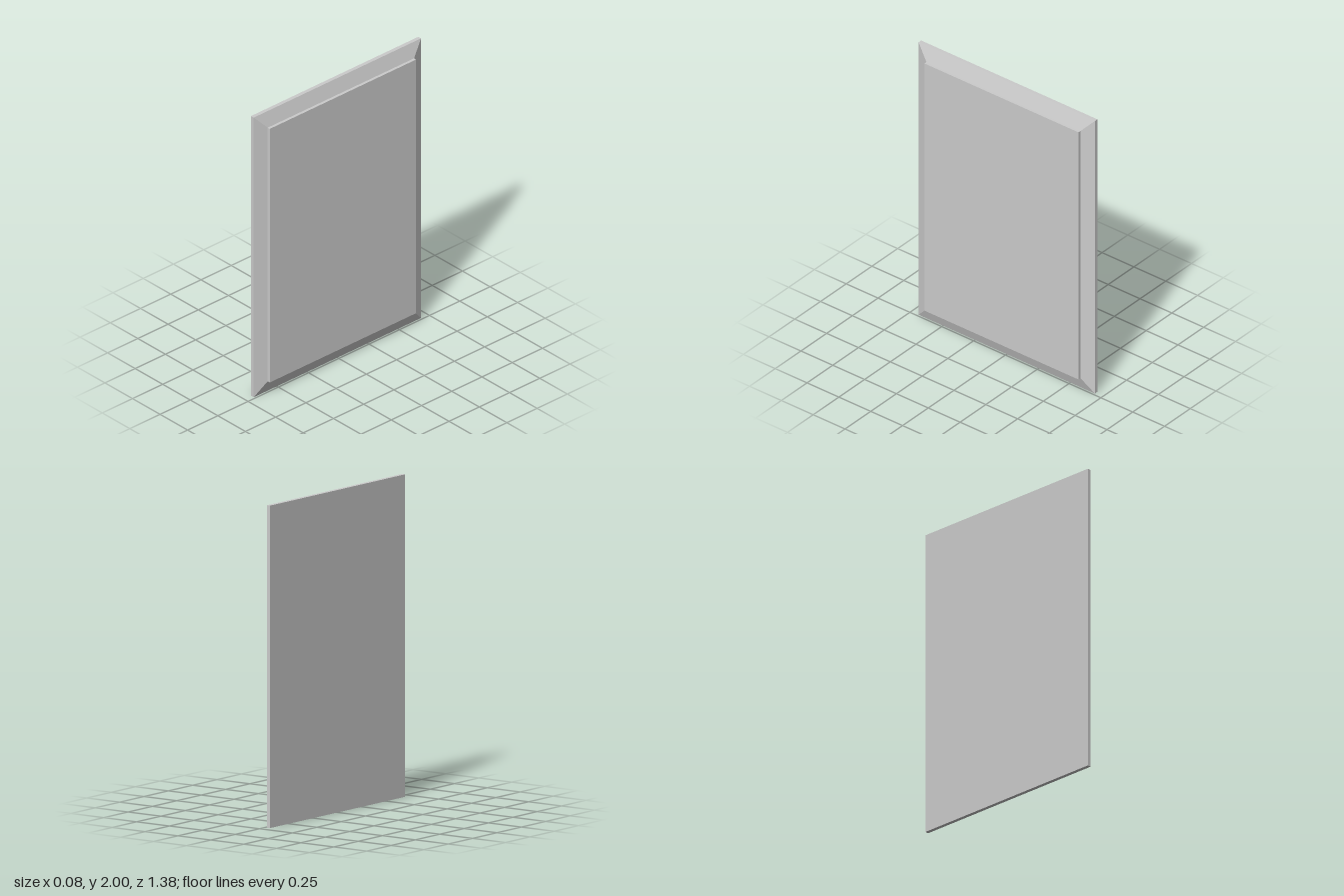
import * as THREE from 'three';

const OUTER = { h: 1, d: 0.692 };        // half height, half depth of the plate
const INNER = { h: 0.907, d: 0.605 };    // half height, half depth of the raised panel
const X = { back: -0.038, edge: -0.013, bevel: 0.019, front: 0.038 };

// Corners of a rectangle at x, counter-clockwise seen from +x
const ring = (x, { h, d }) =>
  [[-1, -1], [1, -1], [1, 1], [-1, 1]].map(([sy, sz]) => [x, 1 + sy * h, sz * d]);

// Flat-sided band between two rings, with optional end faces
function band(a, b, { capA = false, capB = false } = {}) {
  const quads = a.map((_, i) => {
    const j = (i + 1) % 4;
    return [a[i], a[j], b[j], b[i]];
  });
  if (capA) quads.push([...a].reverse());
  if (capB) quads.push(b);
  const points = quads.flatMap(([p, q, r, s]) => [p, q, r, p, r, s]);
  const geometry = new THREE.BufferGeometry();
  geometry.setAttribute('position', new THREE.Float32BufferAttribute(points.flat(), 3));
  geometry.computeVertexNormals();
  return geometry;
}

export function createModel() {
  const group = new THREE.Group();
  group.name = 'raisedPanel';
  const material = new THREE.MeshStandardMaterial({ color: 0xcccccc, flatShading: true });
  const add = (name, geometry) => {
    const mesh = new THREE.Mesh(geometry, material);
    mesh.name = name;
    group.add(mesh);
  };

  // Thin backing plate with its flat rear face
  add('backPlate', band(ring(X.back, OUTER), ring(X.edge, OUTER), { capA: true }));
  // Mitred slope from the plate edge up to the panel
  add('bevelledBorder', band(ring(X.edge, OUTER), ring(X.bevel, INNER)));
  // Flat field standing proud of the border
  add('centrePanel', band(ring(X.bevel, INNER), ring(X.front, INNER), { capB: true }));
  return group;
}
